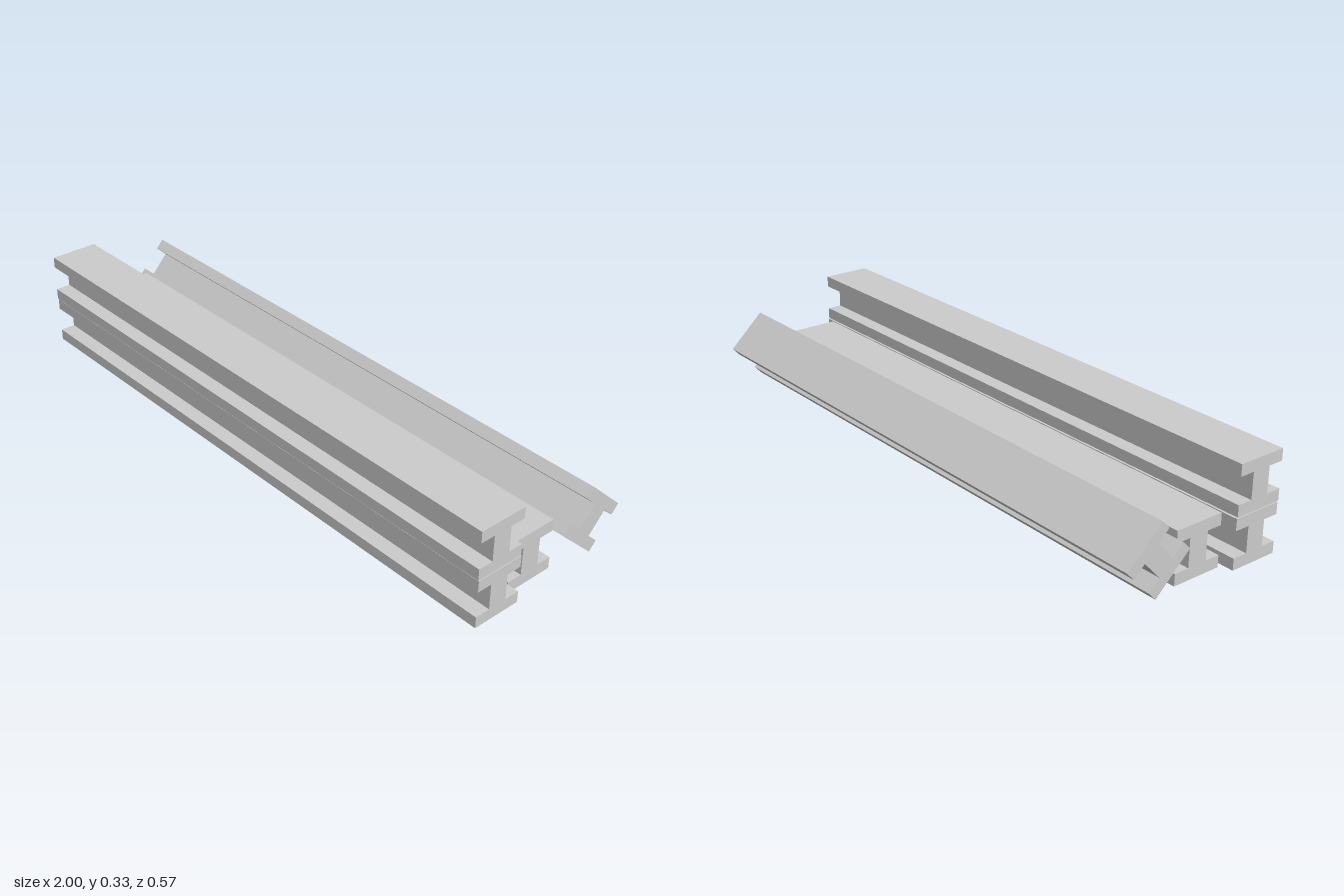
import * as THREE from 'three';

const material = new THREE.MeshStandardMaterial({ color: 0xcccccc, flatShading: true });

// I-section beam running along x, centred on its own origin
function makeBeam({ name, length, width, height, flange, web, y, z, tilt = 0 }) {
  const w = width / 2, h = height / 2, t = web / 2, f = h - flange;
  const section = new THREE.Shape([
    [-w, -h], [w, -h], [w, -f], [t, -f], [t, f], [w, f],
    [w, h], [-w, h], [-w, f], [-t, f], [-t, -f], [-w, -f],
  ].map(([px, py]) => new THREE.Vector2(px, py)));
  const geometry = new THREE.ExtrudeGeometry(section, { depth: length, bevelEnabled: false });
  geometry.translate(0, 0, -length / 2);
  geometry.rotateY(Math.PI / 2);
  const beam = new THREE.Mesh(geometry, material);
  beam.name = name;
  beam.position.set(0, y, z);
  beam.rotation.x = tilt;
  return beam;
}

export function createModel() {
  const group = new THREE.Group();
  group.name = 'beamStack';
  const common = { length: 2, width: 0.162, height: 0.158, flange: 0.037, web: 0.063 };
  group.add(
    // two beams stacked at the front
    makeBeam({ ...common, name: 'upperFrontBeam', y: 0.246, z: 0.203 }),
    makeBeam({ ...common, name: 'lowerFrontBeam', y: 0.0845, z: 0.2005 }),
    // slightly shorter, heavier beam in the middle
    makeBeam({ name: 'middleBeam', length: 1.91, width: 0.168, height: 0.168, flange: 0.038, web: 0.067, y: 0.084, z: 0.025 }),
    // beam leaning against the middle one
    makeBeam({ ...common, name: 'leaningBeam', y: 0.137, z: -0.17, tilt: -0.752 }),
  );
  return group;
}
